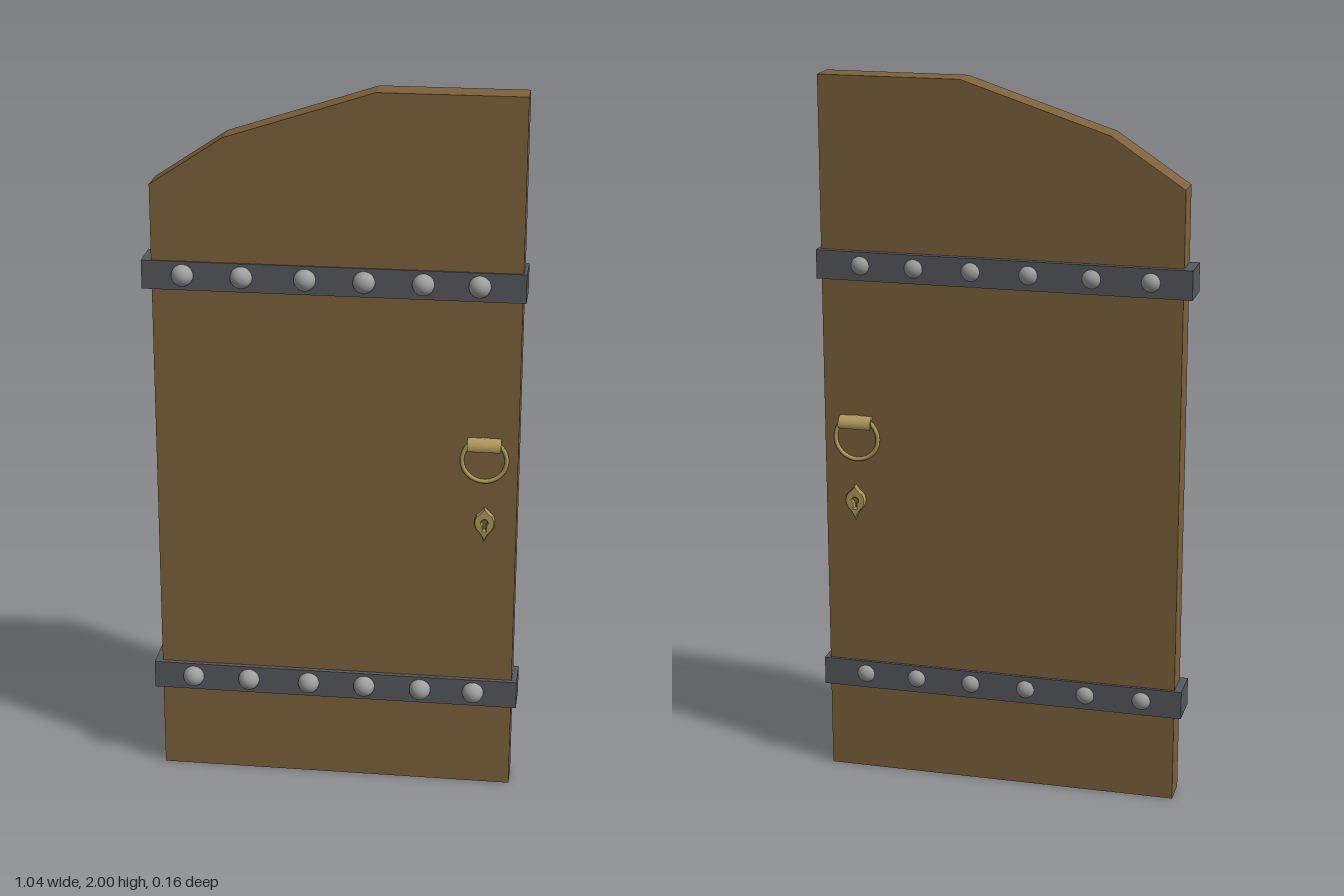
import * as THREE from 'three';

const mat = (color) => new THREE.MeshStandardMaterial({ color });

export function createModel() {
  const root = new THREE.Group();
  const wood = mat(0x7d623c), iron = mat(0x56585c), steel = mat(0xa0a0a0), brass = mat(0xb09a5c);
  brass.side = THREE.DoubleSide;

  const add = (parent, name, geometry, material, x = 0, y = 0, z = 0) => {
    const mesh = new THREE.Mesh(geometry, material);
    mesh.name = name;
    mesh.position.set(x, y, z);
    parent.add(mesh);
    return mesh;
  };
  const group = (name, parent = root) => {
    const g = new THREE.Group();
    g.name = name;
    parent.add(g);
    return g;
  };

  // Door leaf: flat slab with a faceted half-arch top
  const outline = new THREE.Shape([
    [-0.495, 0], [0.505, 0], [0.505, 2], [0.11, 2], [-0.295, 1.868], [-0.495, 1.735],
  ].map(([x, y]) => new THREE.Vector2(x, y)));
  add(root, 'doorPanel', new THREE.ExtrudeGeometry(outline, { depth: 0.083, bevelEnabled: false }),
    wood, 0, 0, -0.046);

  // Iron bands wrapping the leaf, with round studs on both faces
  const studGeo = new THREE.SphereGeometry(0.03, 24, 16);
  const studXs = [-0.41, -0.25, -0.078, 0.081, 0.24, 0.39];
  const band = (name, x, y, z, studShift) => {
    const g = group(name);
    add(g, 'strap', new THREE.BoxGeometry(1.036, 0.08, 0.105), iron, x, y, z);
    for (const sx of studXs) {
      add(g, 'frontStud', studGeo, steel, sx + studShift, y + 0.002, z + 0.054);
      add(g, 'backStud', studGeo, steel, sx + studShift, y + 0.002, z - 0.037);
    }
  };
  band('upperBand', -0.004, 1.486, -0.011, 0);
  band('lowerBand', 0.002, 0.289, -0.002, 0.007);

  // Curved clip that holds the pull ring: a half tube with wall thickness
  const clip = new THREE.Shape();
  clip.absarc(0, 0, 0.024, -0.35, Math.PI + 0.35, false);
  clip.absarc(0, 0, 0.016, Math.PI + 0.35, -0.35, true);
  const clipGeo = new THREE.ExtrudeGeometry(clip, { depth: 0.092, bevelEnabled: false, curveSegments: 12 });
  clipGeo.rotateY(Math.PI / 2).translate(-0.046, 0, 0);
  const ringGeo = new THREE.TorusGeometry(0.061, 0.006, 10, 40);

  // Teardrop keyhole plate with an opening
  const plate = new THREE.Shape();
  plate.moveTo(0, 0.05);
  plate.quadraticCurveTo(0.01, 0.034, 0.022, 0.026);
  plate.quadraticCurveTo(0.034, 0.006, 0.022, -0.015);
  plate.quadraticCurveTo(0.006, -0.03, 0, -0.052);
  plate.quadraticCurveTo(-0.006, -0.03, -0.022, -0.015);
  plate.quadraticCurveTo(-0.034, 0.006, -0.022, 0.026);
  plate.quadraticCurveTo(-0.01, 0.034, 0, 0.05);
  const hole = new THREE.Path();
  hole.absarc(0, 0.006, 0.009, -1.1, Math.PI + 1.1, false);
  hole.lineTo(-0.004, -0.018);
  hole.lineTo(0.004, -0.018);
  plate.holes.push(hole);
  const plateGeo = new THREE.ExtrudeGeometry(plate, {
    depth: 0.012, bevelThickness: 0.003, bevelSize: 0.002, bevelOffset: -0.002, bevelSegments: 1, curveSegments: 8,
  });

  // The same fittings on the front and, turned round, on the back
  for (const [side, z, turn] of [['front', 0.037, 0], ['back', -0.046, Math.PI]]) {
    const g = group(side + 'Fittings');
    g.position.set(0.413, 0, z);
    g.rotation.y = turn;
    add(g, 'ringClip', clipGeo, brass, 0, 1.035, 0.006);
    add(g, 'pullRing', ringGeo, brass, 0, 0.994, 0.004);
    add(g, 'keyholePlate', plateGeo, brass, turn ? -0.005 : 0.005, 0.808, 0.001);
  }
  return root;
}
